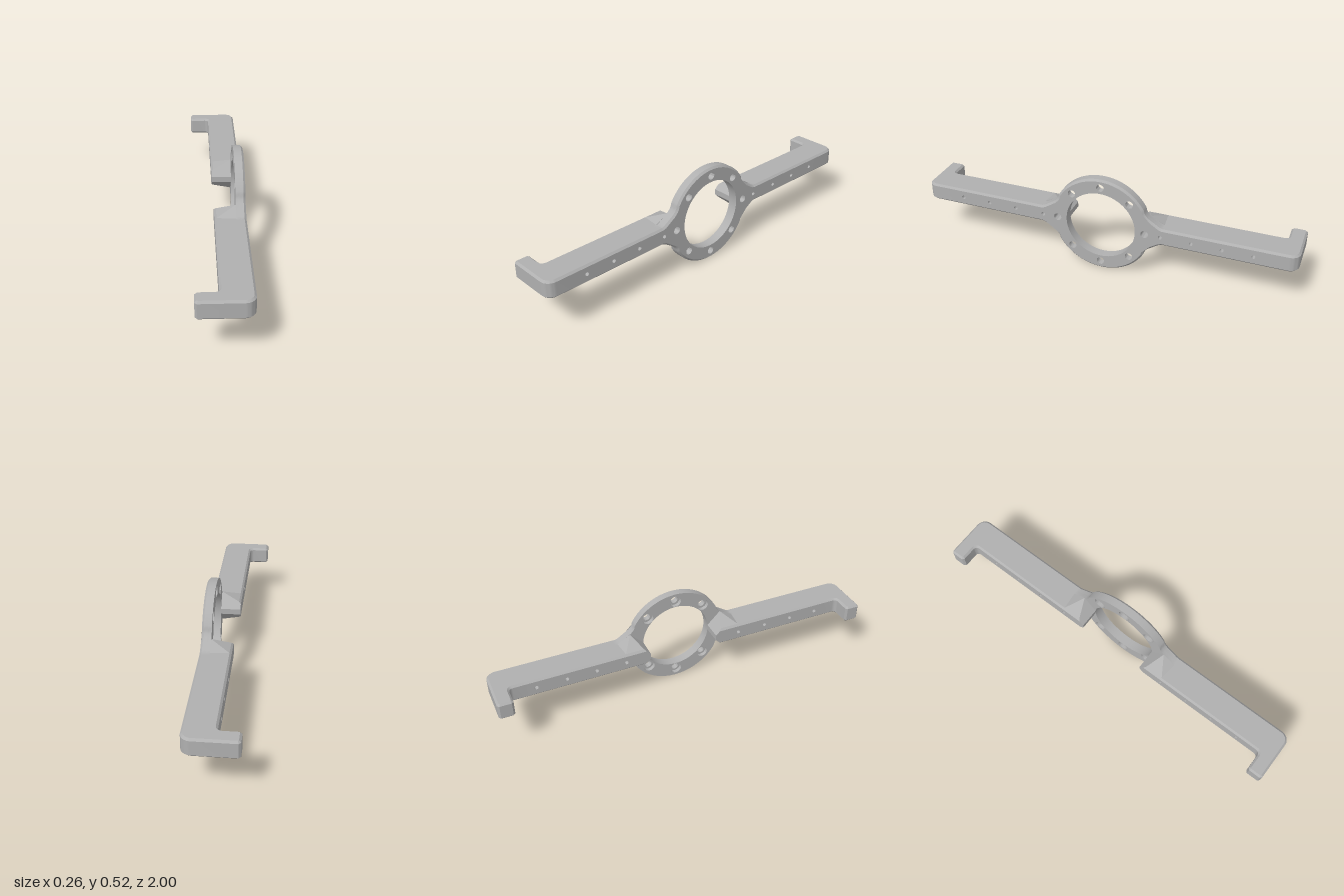
import * as THREE from 'three';
import { toCreasedNormals } from 'three/addons/utils/BufferGeometryUtils.js';
import { ConvexGeometry } from 'three/addons/geometries/ConvexGeometry.js';

const CENTRE_Y = 0.2625, RING_R = 0.262, BORE_R = 0.185, HALF_H = 0.0465;
const BACK = -0.025, PLATE_BACK = 0.08, FRONT = 0.13, CHAMFER = 0.01;
const ARM_HOLES = [0.317, 0.475, 0.63, 0.785];
const X = new THREE.Vector3(1, 0, 0), Y = new THREE.Vector3(0, 1, 0), Z = new THREE.Vector3(0, 0, 1);
const ALONG_X = new THREE.Matrix4().makeBasis(Z.clone().negate(), Y, X);
const ALONG_Y = new THREE.Matrix4().makeBasis(Z, X, Y);
const v2 = (x, y) => new THREE.Vector2(x, y);

function arc(cx, cy, r, a0, a1, n) {
  return Array.from({ length: n + 1 }, (_, i) => {
    const a = a0 + (a1 - a0) * i / n;
    return v2(cx + r * Math.cos(a), cy + r * Math.sin(a));
  });
}

// Mitred inward offset of a counter-clockwise outline
function inset(pts, d) {
  const normal = (a, b) => v2(a.y - b.y, b.x - a.x).normalize();
  return pts.map((p, i) => {
    const n1 = normal(pts[(i + pts.length - 1) % pts.length], p);
    const n2 = normal(p, pts[(i + 1) % pts.length]);
    return n1.clone().add(n2).multiplyScalar(d / (1 + n1.dot(n2))).add(p);
  });
}

// Extruded outline with plain holes; only the outer edge is chamfered
function plate(pts, holes, w0, w1, chamferStart, chamferEnd, matrix) {
  const shape = new THREE.Shape(pts);
  for (const [u, v, r] of holes) {
    shape.holes.push(new THREE.Path().absarc(u, v, r, 0, Math.PI * 2, true));
  }
  const geo = new THREE.ExtrudeGeometry(shape, { depth: 3, steps: 3, bevelEnabled: false, curveSegments: 40 });
  const small = inset(pts, CHAMFER), levels = [w0, w0 + CHAMFER, w1 - CHAMFER, w1];
  const pos = geo.attributes.position;
  for (let i = 0; i < pos.count; i++) {
    const level = Math.round(pos.getZ(i));
    if ((level === 0 && chamferStart) || (level === 3 && chamferEnd)) {
      const k = pts.findIndex(p => Math.hypot(p.x - pos.getX(i), p.y - pos.getY(i)) < 1e-5);
      if (k >= 0) pos.setXY(i, small[k].x, small[k].y);
    }
    pos.setZ(i, levels[level]);
  }
  geo.applyMatrix4(matrix);
  return toCreasedNormals(geo, 0.5);
}

export function createModel() {
  const model = new THREE.Group();
  model.name = 'ringBracket';
  const body = new THREE.Group();
  body.name = 'body';
  body.position.y = CENTRE_Y;
  model.add(body);
  const grey = new THREE.MeshStandardMaterial({ color: 0xb0b0b0 });
  grey.name = 'satin grey';
  const add = (parent, name, geo) => {
    const mesh = new THREE.Mesh(geo, grey);
    mesh.name = name;
    parent.add(mesh);
  };

  // Ring outline flowing into a neck on either side
  const neck = [[0.34, HALF_H], [0.325, HALF_H], [0.31, 0.0515], [0.25, 0.09], [0.237, 0.104], [0.23, 0.116]];
  const a0 = 0.518;
  const half = [
    ...neck.map(([u, v]) => v2(u, v)),
    ...arc(0, 0, RING_R, a0, Math.PI - a0, 48),
    ...neck.slice().reverse().map(([u, v]) => v2(-u, v)),
  ];
  const outline = [...half, ...half.map(p => v2(-p.x, -p.y))];

  // Bore, blind holes, neck holes and six counterbored screw holes
  const common = [[0, 0, BORE_R]];
  for (const s of [-1, 1]) common.push([s * 0.235, 0, 0.02], [s * ARM_HOLES[0], 0, 0.01]);
  const screws = r => [45, 90, 135, 225, 270, 315].map(d => {
    const a = THREE.MathUtils.degToRad(d);
    return [0.218 * Math.cos(a), 0.218 * Math.sin(a), r];
  });
  add(body, 'ringFront', plate(outline, [...common, ...screws(0.02)], 0.1, FRONT, false, true, ALONG_X));
  add(body, 'ringBack', plate(outline, [...common, ...screws(0.031)], PLATE_BACK, 0.1, false, false, ALONG_X));

  // Two identical arms, the second turned about the x axis
  for (const [name, turn] of [['frontArm', 0], ['rearArm', Math.PI]]) {
    const arm = new THREE.Group();
    arm.name = name;
    arm.rotation.x = turn;
    body.add(arm);

    // Straight drilled bar
    const bar = [v2(-0.84, -HALF_H), v2(-0.27, -HALF_H), v2(-0.27, HALF_H), v2(-0.84, HALF_H)];
    add(arm, 'bar', plate(bar, ARM_HOLES.map(z => [-z, 0, 0.01]), BACK, FRONT, true, true, ALONG_X));

    // Rounded corner with the hook turning back
    const hook = [
      v2(0.82, BACK),
      ...arc(0.9, BACK - 0.02, 0.02, Math.PI / 2, 0, 6),
      v2(0.92, -0.12), v2(0.93, -0.13), v2(0.99, -0.13), v2(1, -0.12),
      ...arc(0.95, FRONT - 0.05, 0.05, 0, Math.PI / 2, 12),
      v2(0.82, FRONT),
    ];
    add(arm, 'hook', plate(hook, [], -HALF_H, HALF_H, true, true, ALONG_Y));

    // Gusset: solid core with a tapered wedge above and below
    const core = new THREE.BoxGeometry(PLATE_BACK - BACK, 0.03, 0.115);
    core.translate((PLATE_BACK + BACK) / 2, 0, 0.2425);
    add(arm, 'gussetCore', core);
    for (const s of [1, -1]) {
      const corners = [
        [BACK, 0.015, 0.185], [BACK, 0.0365, 0.2065], [BACK, 0.0365, 0.31], [BACK, 0.015, 0.31],
        [BACK + CHAMFER, HALF_H, 0.2165], [BACK + CHAMFER, HALF_H, 0.315],
        [PLATE_BACK, 0.015, 0.185], [PLATE_BACK, 0.085, 0.255],
        [PLATE_BACK, HALF_H, 0.325], [PLATE_BACK, 0.015, 0.325],
      ];
      add(arm, s > 0 ? 'gussetTop' : 'gussetBottom',
        new ConvexGeometry(corners.map(([x, y, z]) => new THREE.Vector3(x, y * s, z))));
    }
  }
  return model;
}
